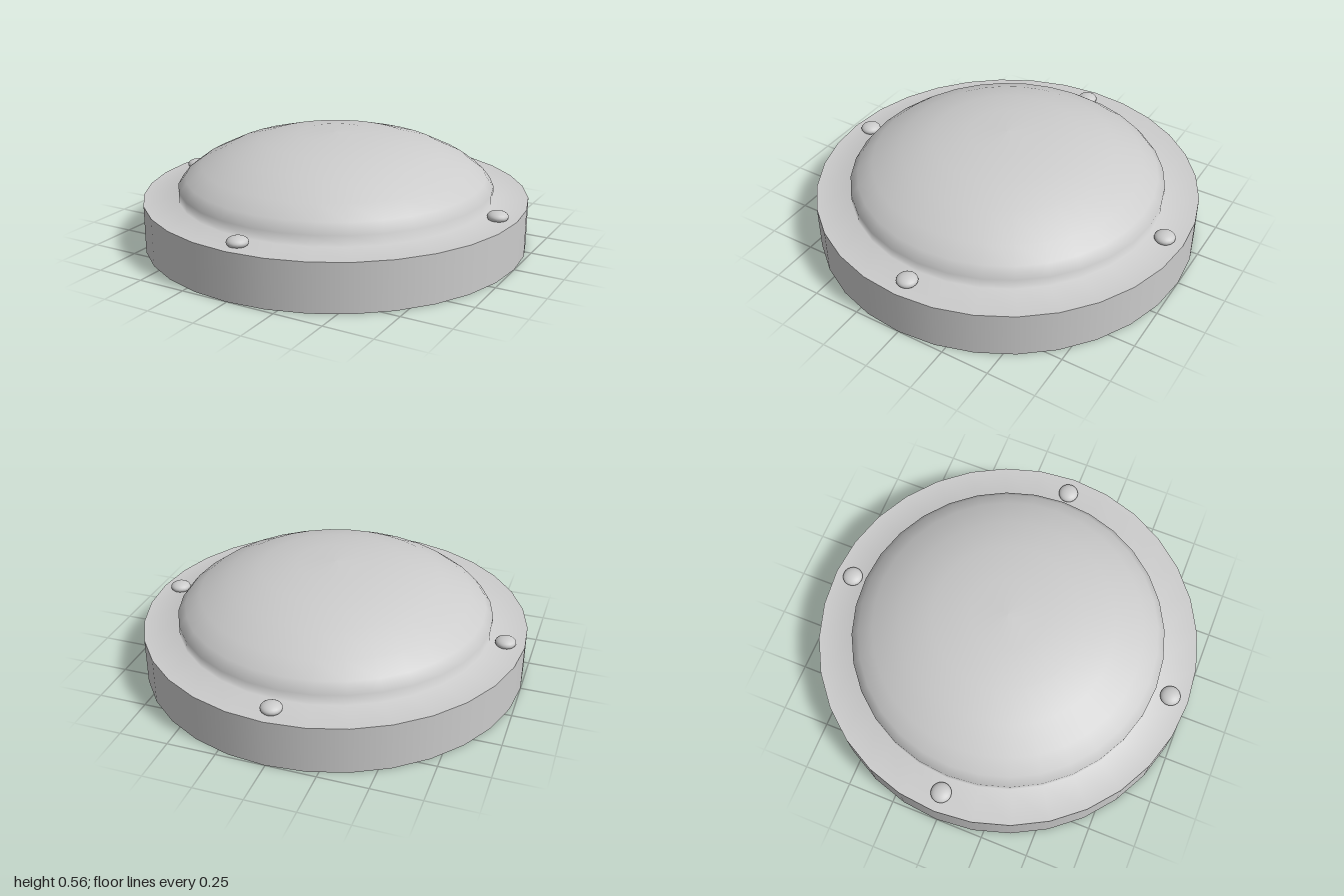
import * as THREE from 'three';

const SIDES = 32;
const RIM_Y = 0.245;

export function createModel() {
  const group = new THREE.Group();
  const sheet = new THREE.MeshStandardMaterial({ color: 0xcccccc, side: THREE.DoubleSide });
  const solid = new THREE.MeshStandardMaterial({ color: 0xcccccc });

  const add = (name, geometry, material) => {
    const mesh = new THREE.Mesh(geometry, material);
    mesh.name = name;
    group.add(mesh);
    return mesh;
  };

  // Open-bottomed side wall
  const wall = new THREE.CylinderGeometry(1, 1, RIM_Y, SIDES, 1, true);
  wall.translate(0, RIM_Y / 2, 0);
  add('sideWall', wall, sheet);

  // Thin flange, short upright lip and shallow dome in one smooth shell
  const profile = [
    [1, RIM_Y], [0.82, RIM_Y], [0.82, 0.3], [0.78, 0.35], [0.7, 0.41],
    [0.55, 0.483], [0.385, 0.53], [0.195, 0.558], [0, 0.565],
  ].map(([r, y]) => new THREE.Vector2(r, y));
  add('domeAndFlange', new THREE.LatheGeometry(profile, SIDES), sheet);

  // Four flattened rivets that poke through the flange
  const rivet = new THREE.SphereGeometry(0.053, 20, 12);
  rivet.scale(1, 0.53, 1);
  for (let i = 0; i < 4; i++) {
    const a = (i * Math.PI) / 2;
    add('rivet', rivet, solid).position.set(0.902 * Math.sin(a), 0.259, 0.902 * Math.cos(a));
  }

  return group;
}
